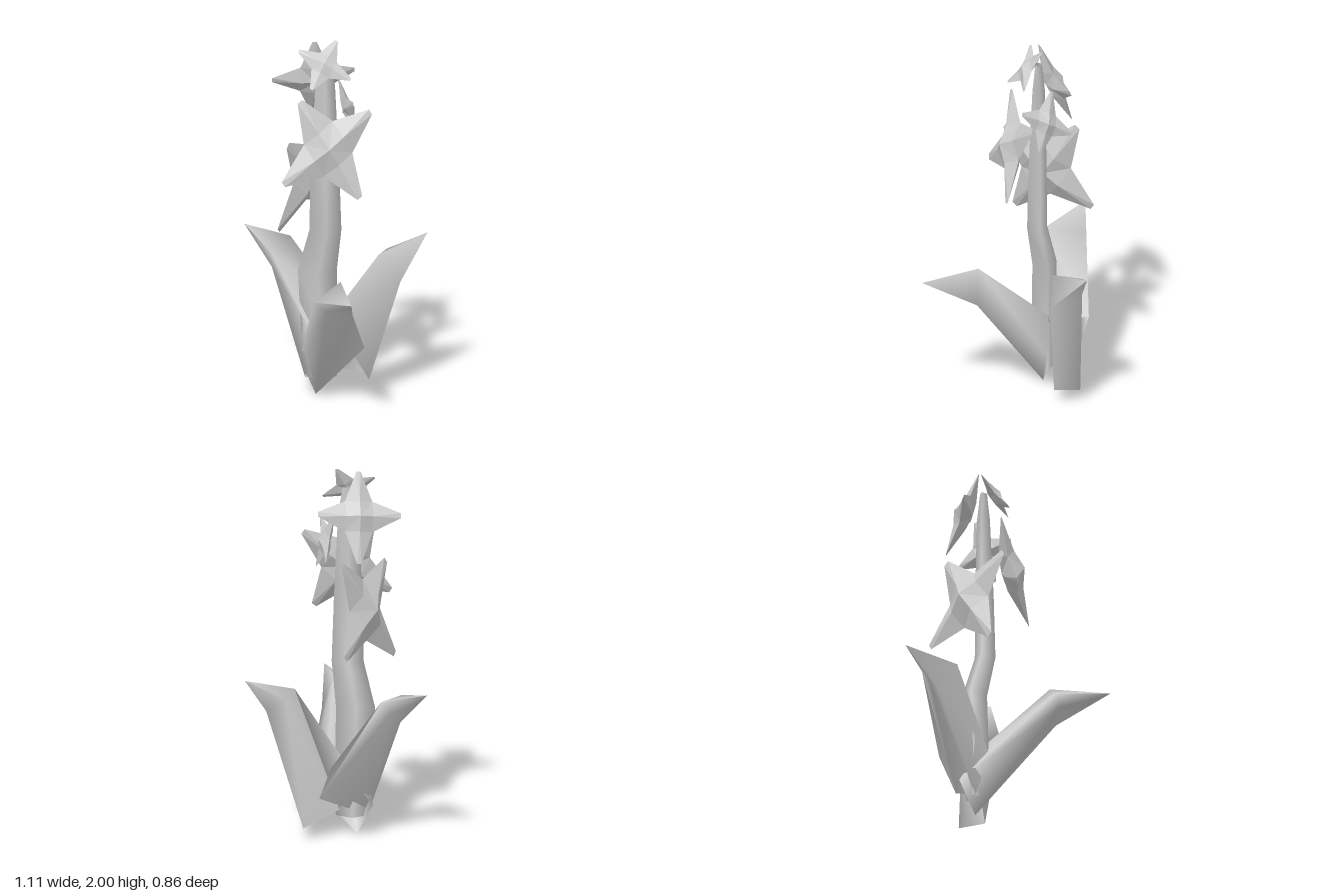
import * as THREE from 'three';

const material = new THREE.MeshStandardMaterial({ color: 0xcccccc, side: THREE.DoubleSide });
const flatMaterial = new THREE.MeshStandardMaterial({ color: 0xcccccc, side: THREE.DoubleSide, flatShading: true });
const V = (p) => new THREE.Vector3(...p);

// Smooth skin through closed cross-sections with equal numbers of points
function loft(name, rings) {
  const n = rings[0].length, index = [];
  for (let r = 0; r < rings.length - 1; r++) {
    for (let i = 0; i < n; i++) {
      const a = r * n + i, b = r * n + (i + 1) % n;
      index.push(a, b, a + n, b, b + n, a + n);
    }
  }
  const geometry = new THREE.BufferGeometry();
  geometry.setAttribute('position', new THREE.Float32BufferAttribute(rings.flat(2), 3));
  geometry.setIndex(index);
  geometry.computeVertexNormals();
  const mesh = new THREE.Mesh(geometry, material);
  mesh.name = name;
  return mesh;
}

// Leaf: four-cornered base and bend, closing to a point
function leaf(name, base, bend, tip) {
  return loft(name, [base, bend, base.map(() => tip)]);
}

// Stem: four-sided, wider along one diagonal, on a kinked line of [x, y, z, size]
function stem(points) {
  const section = [[1, -1], [0.7, 0.6], [-1, 1], [-0.7, -0.6]];
  const rings = points.map(([x, y, z, s]) => section.map(([dx, dz]) => [x + s * dx, y, z + s * dz]));
  return loft('stem', rings.reverse());
}

// Four-petalled flower from its petal tips: domed heart, keeled petals bent back
function flower(name, tipPoints) {
  const tips = tipPoints.map(V);
  const mean = tips.reduce((s, t) => s.add(t), new THREE.Vector3()).multiplyScalar(0.25);
  const normal = new THREE.Vector3().crossVectors(
    tips[2].clone().sub(tips[0]), tips[3].clone().sub(tips[1])).normalize();
  const outward = new THREE.Vector3(mean.x + 0.01, 0, mean.z - 0.06);
  if (normal.dot(outward) < 0) normal.negate();
  const size = tips[0].distanceTo(tips[2]) / 2;
  const push = (p, d) => p.clone().addScaledVector(normal, d * size);
  const heart = push(mean, 0.2);
  const back = push(mean, -0.22);
  const notches = tips.map((t, i) => push(
    mean.clone().addScaledVector(t.clone().add(tips[(i + 1) % 4]).addScaledVector(mean, -2), 0.33), -0.05));
  const positions = [];
  const face = (...corners) => corners.forEach((c) => positions.push(c.x, c.y, c.z));
  for (let i = 0; i < 4; i++) {
    const left = notches[(i + 3) % 4], right = notches[i], tip = tips[i];
    const half = right.clone().sub(left).multiplyScalar(0.08);
    const tipL = tip.clone().sub(half), tipR = tip.clone().add(half);
    const middle = left.clone().lerp(right, 0.5);
    const ridge = push(middle, 0.14), keel = push(middle, -0.14);
    // heart, ridged petal face, keeled petal back
    face(heart, left, ridge);
    face(heart, ridge, right);
    face(left, tipL, ridge);
    face(ridge, tipL, tipR);
    face(ridge, tipR, right);
    face(left, keel, tipL);
    face(keel, right, tipR);
    face(keel, tipR, tipL);
    face(back, keel, left);
    face(back, right, keel);
  }
  const geometry = new THREE.BufferGeometry();
  geometry.setAttribute('position', new THREE.Float32BufferAttribute(positions, 3));
  geometry.computeVertexNormals();
  const mesh = new THREE.Mesh(geometry, flatMaterial);
  mesh.name = name;
  return mesh;
}

export function createModel() {
  const group = new THREE.Group();
  group.name = 'floweringPlant';

  group.add(stem([
    [-0.05, 0.1, 0.05, 0.06], [-0.055, 0.4, 0.06, 0.07], [-0.068, 0.7, 0.06, 0.073],
    [-0.003, 0.94, 0.065, 0.06], [-0.008, 1.3, 0.065, 0.054], [-0.01, 1.75, 0.06, 0.037],
    [-0.01, 1.9, 0.06, 0.02],
  ]));

  // Leaves
  group.add(leaf('frontLeaf',
    [[-0.18, 0.175, 0.08], [0.04, 0.46, -0.035], [0.135, 0.27, -0.09], [-0.07, 0.0, 0.07]],
    [[0.23, 0.67, 0.39], [0.29, 0.765, 0.245], [0.35, 0.58, 0.215], [0.285, 0.62, 0.35]],
    [0.555, 0.74, 0.43]));
  group.add(leaf('rightLeaf',
    [[-0.13, 0.42, -0.18], [-0.03, 0.23, -0.17], [-0.1, 0.1, 0.12], [-0.02, 0.34, 0.13]],
    [[-0.35, 0.8, -0.02], [-0.35, 0.72, 0.05], [-0.35, 0.66, 0.12], [-0.275, 0.78, 0.2]],
    [-0.555, 0.85, 0.12]));
  group.add(leaf('backLeaf',
    [[0.13, 0.08, -0.13], [-0.03, 0.42, 0], [-0.03, 0.14, -0.02], [0.03, 0.065, -0.23]],
    [[0.285, 0.65, -0.21], [0.18, 0.79, -0.15], [0.1, 0.77, -0.29], [0.2, 0.7, -0.34]],
    [0.27, 0.87, -0.43]));

  // Flowers, lowest to highest
  group.add(flower('lowerRightFlower',
    [[-0.14, 1.52, -0.1], [-0.05, 1.46, 0.3], [-0.13, 0.96, 0.29], [-0.21, 1.03, -0.15]]));
  group.add(flower('lowerFrontFlower',
    [[-0.02, 1.7, 0.24], [0.22, 1.63, -0.05], [0.27, 1.19, 0.08], [-0.01, 1.27, 0.375]]));
  group.add(flower('backFlower',
    [[0.18, 1.69, 0.04], [0, 1.77, -0.03], [-0.04, 1.53, -0.13], [0.13, 1.46, -0.04]]));
  group.add(flower('upperRightFlower',
    [[-0.06, 1.99, 0.09], [-0.25, 1.76, 0.22], [-0.19, 1.53, -0.03], [0, 1.79, -0.15]]));
  group.add(flower('topFlower',
    [[0.03, 2.0, 0.015], [0.16, 1.82, 0.04], [0.045, 1.78, 0.22], [-0.1, 1.95, 0.17]]));
  return group;
}
